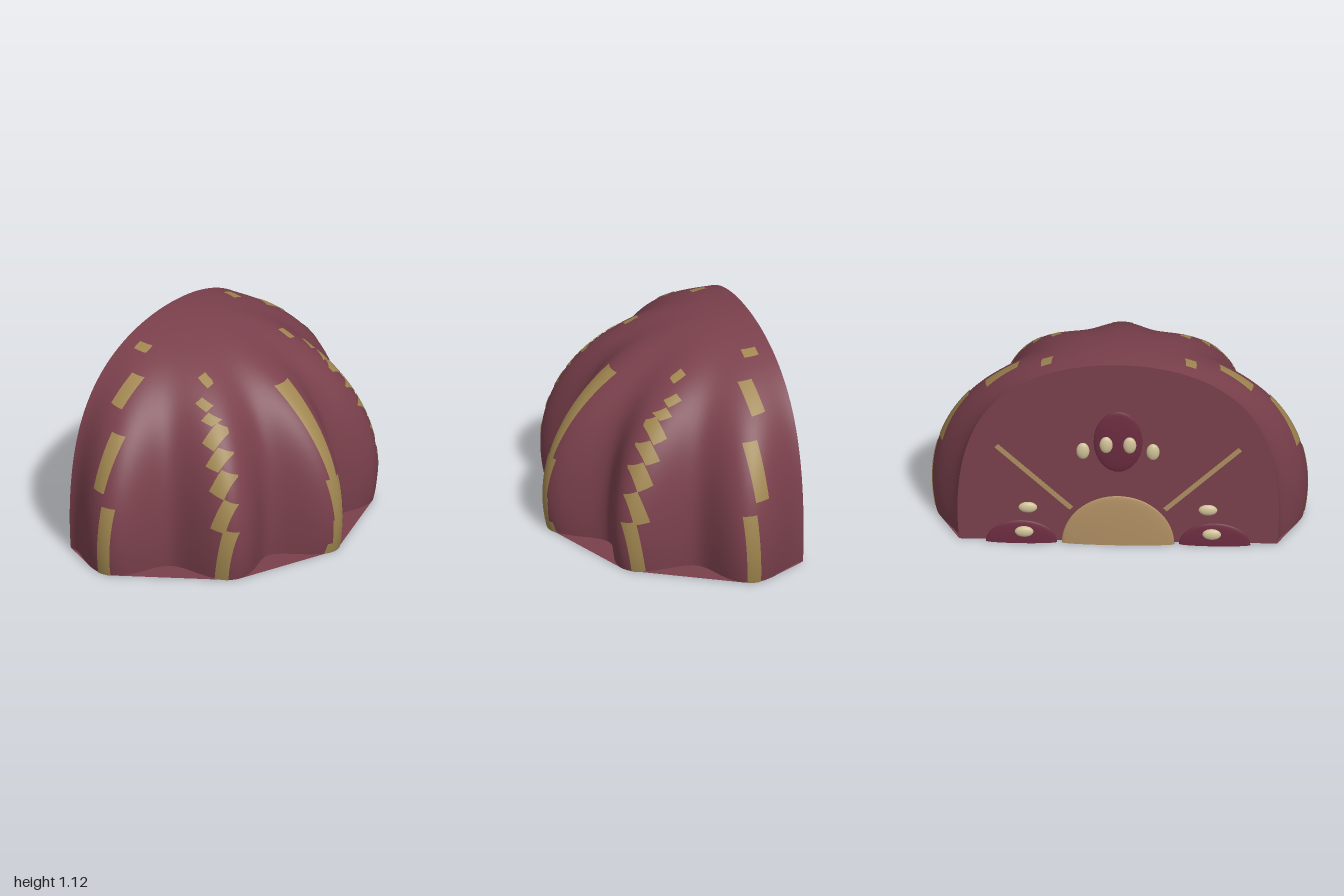
import * as THREE from 'three';

const AXIS = -0.545, MID = 0.19, RX = 1.15, RY = 0.93, RZ = 1.045;
const DEG = Math.PI / 180;
const BOTTOM = Math.asin(-MID / RY);

const material = (name, color, side = THREE.FrontSide) => {
  const m = new THREE.MeshStandardMaterial({ color, side });
  m.name = name;
  return m;
};

// Ten ribs around the upright axis, fading towards the crown
const rib = (a, lat) => {
  const c = Math.max(Math.cos(lat), 0);
  return c ** 0.97 * (1 - 0.09 * c * c * (1 - Math.cos(10 * a)));
};
const surface = (a, lat) => new THREE.Vector3(
  AXIS + RX * rib(a, lat) * Math.cos(a), MID + RY * Math.sin(lat), RZ * rib(a, lat) * Math.sin(a));

// Find the angle in [lo, hi] at which a monotonic function reaches a target
function solve(f, target, lo, hi) {
  const rising = f(hi) > f(lo);
  for (let i = 0; i < 30; i++) {
    const mid = (lo + hi) / 2;
    if ((f(mid) < target) === rising) lo = mid; else hi = mid;
  }
  return (lo + hi) / 2;
}

// Grid geometry whose vertices come from a rule of (u right, v up)
function grid(nu, nv, rule) {
  const g = new THREE.PlaneGeometry(1, 1, nu, nv);
  const p = g.attributes.position;
  for (let i = 0; i < p.count; i++) {
    const q = rule(p.getX(i) + 0.5, p.getY(i) + 0.5);
    p.setXYZ(i, q.x, q.y, q.z);
  }
  g.computeVertexNormals();
  return g;
}

// Painted quad laid on the dome; corners run TL, TR, BR, BL
function patch(corners, project) {
  const [tl, tr, br, bl] = corners.map(c => new THREE.Vector2(...c));
  const centre = new THREE.Vector3(AXIS, MID, 0);
  return grid(12, 24, (u, v) => {
    const q = bl.clone().lerp(br, u).lerp(tl.clone().lerp(tr, u), v);
    const lat = Math.asin((q.y - MID) / RY);
    const s = surface(project(q.x, lat), lat);
    return s.addScaledVector(s.clone().sub(centre).normalize(), 0.004);
  });
}

// Convex outline of 2D points
function hull(points) {
  const pts = [...points].sort((a, b) => a.x - b.x || a.y - b.y);
  const chain = list => {
    const out = [];
    for (const p of list) {
      while (out.length > 1) {
        const a = out[out.length - 2], b = out[out.length - 1];
        if ((b.x - a.x) * (p.y - a.y) - (b.y - a.y) * (p.x - a.x) > 0) break;
        out.pop();
      }
      out.push(p);
    }
    return out.slice(0, -1);
  };
  return [...chain(pts), ...chain(pts.reverse())];
}

export function createModel() {
  const model = new THREE.Group();
  model.name = 'ribbedDome';
  const maroon = material('maroon', 0x7a404c, THREE.DoubleSide);
  const gold = material('gold', 0xa08650, THREE.DoubleSide);
  const tan = material('tan', 0xae8e62);
  const plum = material('plum', 0x6b2c40);
  const cream = material('cream', 0xcdbf96);

  const add = (name, geometry, mat, parent = model) => {
    const mesh = new THREE.Mesh(geometry, mat);
    mesh.name = name;
    parent.add(mesh);
    return mesh;
  };

  // Ribbed shell
  add('shell', grid(240, 72, (u, v) =>
    surface((90 - 180 * u) * DEG, BOTTOM + (Math.PI / 2 - BOTTOM) * v)), maroon);

  // Flat base spanning the ribs
  const rim = [];
  for (let a = -90; a <= 90; a++) {
    const s = surface(a * DEG, BOTTOM);
    rim.push(new THREE.Vector2(s.x, s.z));
  }
  add('base', new THREE.ShapeGeometry(new THREE.Shape(hull(rim))).rotateX(Math.PI / 2), maroon);

  // Flat end wall
  const outline = [];
  for (let i = -48; i <= 48; i++) {
    const t = 1 - Math.abs(i) / 48;
    const s = surface(Math.sign(i) * Math.PI / 2, BOTTOM + (Math.PI / 2 - BOTTOM) * t);
    outline.push(new THREE.Vector2(i ? s.z : 0, s.y));
  }
  add('endWall', new THREE.ShapeGeometry(new THREE.Shape(outline)).rotateY(-Math.PI / 2), maroon)
    .position.x = AXIS;

  // Broken and stepped stripes on the side ribs, mirrored
  const sideStripes = [
    { name: 'brokenStripe', rib: 72, lo: -14, quads: [
      [[-0.46, 1.065], [-0.38, 1.06], [-0.38, 1.04], [-0.46, 1.045]],
      [[-0.37, 0.98], [-0.295, 0.97], [-0.305, 0.85], [-0.385, 0.86]],
      [[-0.30, 0.755], [-0.22, 0.745], [-0.235, 0.465], [-0.315, 0.47]],
      [[-0.235, 0.40], [-0.16, 0.395], [-0.18, 0], [-0.255, 0]]] },
    { name: 'steppedStripe', rib: 36, lo: -3, quads: [
      [[-0.055, 0.99], [0.015, 0.955], [0.01, 0.94], [-0.065, 0.975]],
      [[0.015, 0.91], [0.085, 0.88], [0.075, 0.855], [0, 0.885]],
      [[0.085, 0.855], [0.155, 0.825], [0.135, 0.80], [0.07, 0.82]],
      [[0.145, 0.815], [0.215, 0.78], [0.195, 0.695], [0.12, 0.725]],
      [[0.205, 0.715], [0.275, 0.685], [0.25, 0.60], [0.175, 0.62]],
      [[0.26, 0.615], [0.33, 0.58], [0.31, 0.465], [0.225, 0.50]],
      [[0.31, 0.47], [0.37, 0.44], [0.34, 0.285], [0.255, 0.30]],
      [[0.33, 0.305], [0.395, 0.29], [0.345, 0], [0.275, 0]]] },
  ];
  for (const stripe of sideStripes) {
    const project = (x, lat) => solve(a => RX * rib(a, lat) * Math.cos(a), x - AXIS,
      (stripe.rib + stripe.lo) * DEG, (stripe.rib + 15) * DEG);
    for (const quad of stripe.quads) {
      const g = patch(quad, project);
      add(stripe.name, g, gold);
      add(stripe.name, g, gold).scale.z = -1;
    }
  }

  // Tapered stripe on the middle rib: top y, bottom y, top and bottom half widths
  const across = (z, lat) => solve(a => RZ * rib(a, lat) * Math.sin(a), z, -12 * DEG, 12 * DEG);
  for (const [y1, y0, w1, w0] of [[0.89, 0.43, 0.057, 0.028], [0.43, 0.2, 0.052, 0.032],
    [0.2, 0.06, 0.04, 0.035], [0.06, 0, 0.06, 0.07]]) {
    add('middleStripe', patch([[w1, y1], [-w1, y1], [-w0, y0], [w0, y0]], across), gold);
  }

  // Raised ornaments on the end wall
  const fittings = new THREE.Group();
  fittings.name = 'endWallOrnaments';
  model.add(fittings);
  const ball = new THREE.SphereGeometry(1, 32, 20);
  const half = new THREE.SphereGeometry(1, 40, 16, 0, Math.PI * 2, 0, Math.PI / 2);
  const blob = (name, g, mat, x, y, z, rx, ry, rz) => {
    const m = add(name, g, mat, fittings);
    m.position.set(x, y, z);
    m.scale.set(rx, ry, rz);
  };
  blob('archPanel', half, tan, -0.567, 0, 0, 0.021, 0.3, 0.3);
  blob('ovalPanel', ball, plum, -0.564, 0.645, 0, 0.019, 0.19, 0.13);
  for (const s of [-1, 1]) {
    blob('sidePanel', half, plum, -0.564, 0, s * 0.515, 0.019, 0.135, 0.19);
    blob('innerBead', ball, cream, -0.59, 0.64, s * 0.063, 0.02, 0.05, 0.035);
    blob('outerBead', ball, cream, -0.59, 0.6, s * 0.187, 0.02, 0.05, 0.035);
    blob('upperSideBead', ball, cream, -0.59, 0.235, s * 0.48, 0.02, 0.032, 0.05);
    blob('lowerSideBead', ball, cream, -0.59, 0.08, s * 0.5, 0.02, 0.032, 0.05);
    // Slanted bar
    const bar = add('slantedBar', new THREE.BoxGeometry(0.005, 0.027, 0.56), tan, fittings);
    bar.position.set(AXIS, 0.4, s * 0.45);
    bar.rotation.x = -s * Math.atan2(0.39, 0.4);
  }
  return model;
}
